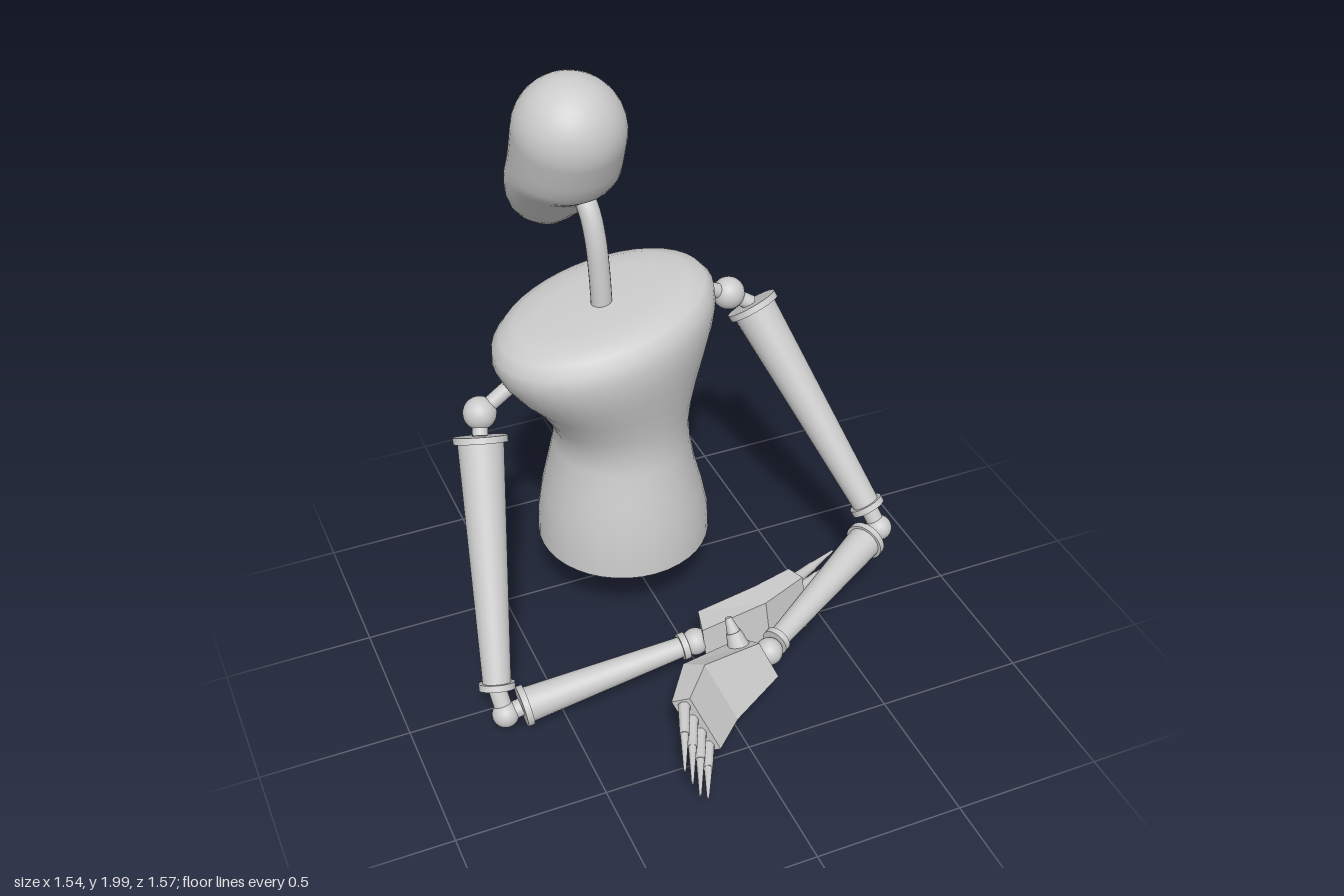
import * as THREE from 'three';

const smooth = new THREE.MeshStandardMaterial({ color: 0xcccccc });
const faceted = new THREE.MeshStandardMaterial({ color: 0xcccccc, flatShading: true });
const V = (p) => new THREE.Vector3(...p);
const UP = new THREE.Vector3(0, 1, 0);

function add(parent, name, geometry, material = smooth) {
  const mesh = new THREE.Mesh(geometry, material);
  mesh.name = name;
  parent.add(mesh);
  return mesh;
}

// Skin over closed rings of points; rings turn clockwise about the travel direction
function loft(rings) {
  const n = rings[0].length, index = [];
  for (let i = 0; i < rings.length - 1; i++) {
    for (let j = 0; j < n; j++) {
      const a = i * n + j, b = i * n + (j + 1) % n;
      index.push(a, a + n, b, b, a + n, b + n);
    }
  }
  const g = new THREE.BufferGeometry().setFromPoints(rings.flat());
  g.setIndex(index);
  g.computeVertexNormals();
  return g;
}

function ring(fn, n = 40) {
  return Array.from({ length: n }, (_, j) => {
    const a = (j / n) * Math.PI * 2;
    return fn(Math.cos(a), Math.sin(a));
  });
}

// Tapered cylinder between two points
function rod(parent, name, a, b, r0, r1, sides = 24, material = smooth) {
  const d = b.clone().sub(a);
  const mesh = add(parent, name, new THREE.CylinderGeometry(r1, r0, d.length(), sides), material);
  mesh.position.copy(a).addScaledVector(d, 0.5);
  mesh.quaternion.setFromUnitVectors(UP, d.normalize());
}

function ball(parent, name, p, r) {
  add(parent, name, new THREE.SphereGeometry(r, 24, 16)).position.copy(p);
}

// Limb with a flange at each end
function limb(parent, name, a, b, [r0, r1, f0, f1]) {
  const d = b.clone().sub(a).normalize().multiplyScalar(0.022);
  rod(parent, name, a, b, r0, r1, 28);
  rod(parent, name + 'UpperFlange', a, a.clone().add(d), f0, f0, 28);
  rod(parent, name + 'LowerFlange', b.clone().sub(d), b, f1, f1, 28);
}

// Hollow torso: y, centre x, half width, half depth, sideways slope
function torso(root) {
  const keys = [
    [0.27, -0.062, 0.3, 0.305, 0], [0.36, -0.062, 0.297, 0.302, 0],
    [0.46, -0.064, 0.278, 0.29, 0], [0.56, -0.065, 0.253, 0.27, 0],
    [0.66, -0.062, 0.234, 0.248, 0], [0.73, -0.06, 0.23, 0.24, 0.02],
    [0.81, -0.068, 0.253, 0.25, 0.05], [0.9, -0.08, 0.292, 0.272, 0.08],
    [0.98, -0.095, 0.338, 0.296, 0.11], [1.05, -0.105, 0.373, 0.309, 0.12],
    [1.11, -0.11, 0.392, 0.313, 0.13], [1.16, -0.112, 0.39, 0.302, 0.14],
    [1.195, -0.113, 0.363, 0.272, 0.14], [1.217, -0.115, 0.31, 0.225, 0.14],
    [1.226, -0.118, 0.22, 0.15, 0.14], [1.228, -0.12, 0, 0, 0.14],
  ];
  const shell = (inset) => keys.map(([y, cx, hx, hz, slope]) => ring((c, s) => {
    const x = c * Math.max(hx - inset, 0), z = s * Math.max(hz - inset, 0);
    return new THREE.Vector3(cx + x, y + slope * x - (y > 1 ? inset : 0), -0.443 + z - slope * 0.8 * x);
  }));
  const outer = shell(0), inner = shell(0.025).reverse();
  const rim = [inner[inner.length - 1], outer[0]].map((r) => r.map((p) => p.clone()));
  add(root, 'torso', loft([...inner, ...rim, ...outer]));
}

// Domed head with a slanted jaw: distance down the axis, front, back, half width
function head(root) {
  const keys = [
    [0.486, -0.085, -0.085, 0], [0.48, -0.05, -0.118, 0.04], [0.465, -0.022, -0.138, 0.075],
    [0.43, 0, -0.156, 0.112], [0.38, 0.028, -0.168, 0.142], [0.32, 0.06, -0.175, 0.163],
    [0.26, 0.092, -0.178, 0.175], [0.225, 0.112, -0.179, 0.179], [0.195, 0.137, -0.18, 0.181],
    [0.165, 0.16, -0.18, 0.182], [0.13, 0.176, -0.18, 0.182], [0.08, 0.18, -0.18, 0.182],
  ];
  for (let i = 0; i <= 10; i++) {
    const a = (i / 10) * Math.PI / 2, r = 0.182 * Math.cos(a);
    keys.push([-0.182 * Math.sin(a), r, -r, r]);
  }
  const mesh = add(root, 'head', loft(keys.map(([s, f, b, w]) => ring((c, k) =>
    new THREE.Vector3(c * w, -s, (f + b) / 2 + k * (f - b) / 2)))));
  mesh.position.set(-0.188, 1.82, -0.49);
  mesh.rotation.x = 0.363;
}

// Bent palm, four fingers and a thumb; "wide" points to the thumb side
function hand(parent, { palm, tips, wide, thumb }) {
  const g = new THREE.Group();
  g.name = 'hand';
  parent.add(g);
  const c = palm.map(V), tip = V(tips), w = V(wide).normalize();
  const halfW = [0.072, 0.118, 0.108], halfT = [0.05, 0.048, 0.034];
  const dirs = [c[1].clone().sub(c[0]), c[2].clone().sub(c[0]), c[2].clone().sub(c[1])];
  const rings = c.map((p, i) => {
    const n = dirs[i].clone().cross(w).normalize();
    return [[1, 1], [1, -1], [-1, -1], [-1, 1]].map(([u, v]) =>
      p.clone().addScaledVector(w, u * halfW[i]).addScaledVector(n, v * halfT[i]));
  });
  const cap = (p) => [p, p, p, p];
  add(g, 'palm', loft([cap(c[0]), ...rings, cap(c[2])]), faceted);

  for (let i = 0; i < 4; i++) {
    const u = (i - 1.5) / 1.5;
    const a = c[2].clone().addScaledVector(w, u * 0.084);
    const end = tip.clone().addScaledVector(w, u * 0.078);
    if (i === 0) end.lerp(a, 0.15);
    const mid = a.clone().lerp(end, 0.45);
    rod(g, 'fingerBase', a, mid, 0.021, 0.016, 8);
    rod(g, 'fingerTip', mid, end, 0.014, 0.004, 8);
  }
  const [t0, t1] = thumb.map(V), tm = t0.clone().lerp(t1, 0.58);
  rod(g, 'thumbBase', t0, tm, 0.04, 0.025, 10);
  rod(g, 'thumbTip', tm, t1, 0.022, 0.011, 10);
}

function arm(root, name, p) {
  const g = new THREE.Group();
  g.name = name;
  root.add(g);
  const [stub, shoulder, top, low, elbow, fore, cuff, wrist] = p.joints.map(V);
  rod(g, 'shoulderStub', stub, shoulder, 0.026, 0.026, 16);
  ball(g, 'shoulderJoint', shoulder, 0.056);
  rod(g, 'shoulderPin', shoulder, top, 0.026, 0.026, 16);
  limb(g, 'upperArm', top, low, [0.077, 0.046, 0.09, 0.06]);
  rod(g, 'elbowPin', low, elbow, 0.03, 0.03, 16);
  ball(g, 'elbowJoint', elbow, 0.045);
  rod(g, 'forearmPin', elbow, fore, 0.03, 0.03, 16);
  limb(g, 'forearm', fore, cuff, [0.06, 0.034, 0.069, 0.046]);
  ball(g, 'wristJoint', wrist, 0.046);
  hand(g, p.hand);
}

export function createModel() {
  const root = new THREE.Group();
  root.name = 'figure';
  torso(root);
  head(root);

  // Curved neck
  const neck = new THREE.CatmullRomCurve3([
    [-0.125, 1.19, -0.42], [-0.127, 1.32, -0.427], [-0.132, 1.45, -0.442],
    [-0.139, 1.54, -0.475], [-0.15, 1.6, -0.54],
  ].map(V));
  add(root, 'neck', new THREE.TubeGeometry(neck, 24, 0.035, 20));

  arm(root, 'rightArm', {
    joints: [[-0.4, 1.02, -0.42], [-0.563, 0.913, -0.41], [-0.58, 0.855, -0.365], [-0.71, 0.155, 0.065],
      [-0.7, 0.077, 0.108], [-0.645, 0.09, 0.11], [-0.062, 0.165, 0.126], [-0.03, 0.17, 0.126]],
    hand: {
      palm: [[0, 0.172, 0.118], [0.2, 0.215, 0.17], [0.355, 0.228, 0.12]],
      tips: [0.575, 0.215, 0.005], wide: [0.1, -0.99, 0.05],
      thumb: [[0.06, 0.15, 0.135], [0.048, 0.01, 0.13]],
    },
  });
  arm(root, 'leftArm', {
    joints: [[0.24, 1.16, -0.475], [0.355, 1.103, -0.485], [0.428, 1.06, -0.458], [0.697, 0.395, -0.035],
      [0.722, 0.328, 0.002], [0.665, 0.313, 0.025], [0.172, 0.253, 0.317], [0.14, 0.247, 0.342]],
    hand: {
      palm: [[0.1, 0.245, 0.353], [-0.105, 0.23, 0.422], [-0.207, 0.23, 0.542]],
      tips: [-0.305, 0.21, 0.77], wide: [-0.36, 0.88, -0.31],
      thumb: [[0.035, 0.29, 0.345], [0.015, 0.395, 0.288]],
    },
  });
  return root;
}
